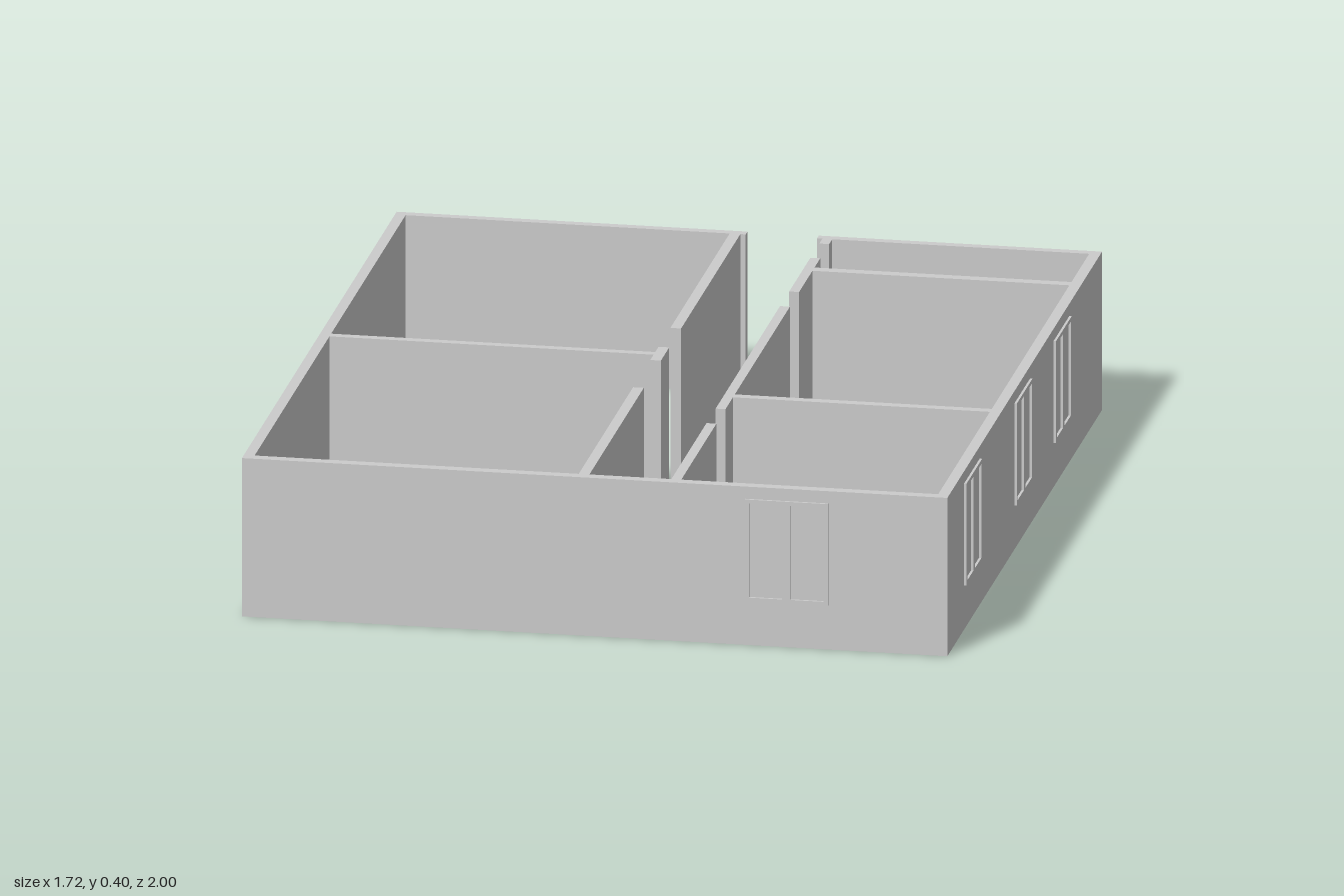
import * as THREE from 'three';

const H = 0.396;
const material = new THREE.MeshStandardMaterial({ color: 0xcccccc, flatShading: true });

// Full-height wall given by its plan rectangle
function wall(name, x0, x1, z0, z1) {
  const mesh = new THREE.Mesh(new THREE.BoxGeometry(x1 - x0, H, z1 - z0), material);
  mesh.name = name;
  mesh.position.set((x0 + x1) / 2, H / 2, (z0 + z1) / 2);
  return mesh;
}

// Window frame with two tall lights, reaching just proud of both wall faces
function windowFrame(name, depth) {
  const w = 0.202, h = 0.255, bar = 0.01;
  const shape = new THREE.Shape();
  shape.moveTo(-w / 2, -h / 2).lineTo(w / 2, -h / 2).lineTo(w / 2, h / 2).lineTo(-w / 2, h / 2).closePath();
  for (const s of [-1, 1]) {
    const a = s * bar, b = s * (w / 2 - bar), t = h / 2 - bar;
    const hole = new THREE.Path();
    hole.moveTo(a, -t).lineTo(a, t).lineTo(b, t).lineTo(b, -t).closePath();
    shape.holes.push(hole);
  }
  const geometry = new THREE.ExtrudeGeometry(shape, { depth, bevelEnabled: false });
  geometry.translate(0, 0, -depth / 2);
  const mesh = new THREE.Mesh(geometry, material);
  mesh.name = name;
  return mesh;
}

export function createModel() {
  const house = new THREE.Group();
  house.name = 'floorPlan';

  // Outer walls, with the entrance gap at the back
  house.add(
    wall('rightOuterWall', -0.86, -0.834, -1, 0.994),
    wall('leftOuterWall', 0.826, 0.853, -1, 0.994),
    wall('frontWall', -0.834, 0.826, 0.968, 0.994),
    wall('backWallRight', -0.834, -0.008, -1, -0.977),
    wall('backWallLeft', 0.165, 0.826, -1, -0.977)
  );

  // Corridor walls, broken by doorways
  const rightRuns = [[-0.977, -0.213], [-0.06, 0.047], [0.267, 0.968]];
  const leftRuns = [[-0.977, -0.938], [-0.823, -0.55], [-0.432, 0.398], [0.515, 0.968]];
  for (const [a, b] of rightRuns) house.add(wall('corridorWallRight', -0.047, -0.021, a, b));
  for (const [a, b] of leftRuns) house.add(wall('corridorWallLeft', 0.178, 0.202, a, b));

  // Partitions between rooms
  house.add(
    wall('rightPartition', -0.834, -0.047, -0.018, 0.004),
    wall('leftBackPartition', 0.202, 0.826, -0.749, -0.722),
    wall('leftFrontPartition', 0.202, 0.826, 0.278, 0.302)
  );

  // Windows: three on the left side, one at the front
  for (const z of [-0.476, 0.029, 0.678]) {
    const frame = windowFrame('sideWindow', 0.038);
    frame.rotation.y = Math.PI / 2;
    frame.position.set(0.84, 0.238, z);
    house.add(frame);
  }
  const front = windowFrame('frontWindow', 0.038);
  front.position.set(0.463, 0.238, 0.981);
  house.add(front);
  return house;
}
